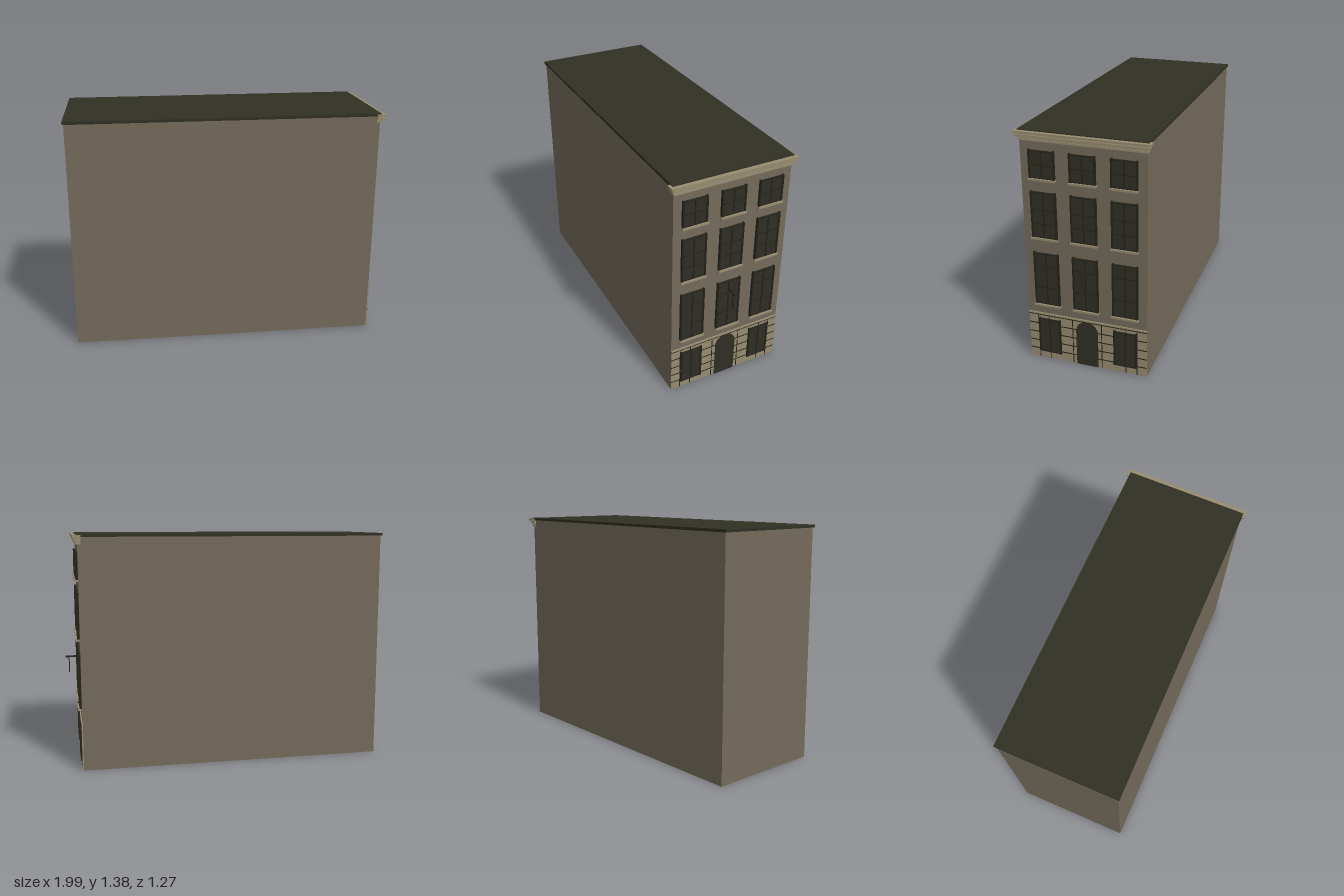
import * as THREE from 'three';

const material = (name, color) => {
  const m = new THREE.MeshStandardMaterial({ color });
  m.name = name;
  return m;
};

export function createModel() {
  const wall = material('wall plaster', 0x746b5b);
  const stone = material('pale stone', 0x968c70);
  const roofing = material('dark roofing', 0x303024);
  const glass = material('dark glass', 0x2f2e25);
  const frame = material('dark frame', 0x25241a);

  // Local frame: the facade lies on z = 0 and faces +z
  const house = new THREE.Group();
  house.name = 'house';
  const W = 0.704, D = 1.818;

  // Box given by its x, y and z limits
  const block = (parent, name, mat, x0, x1, y0, y1, z0, z1) => {
    const mesh = new THREE.Mesh(new THREE.BoxGeometry(x1 - x0, y1 - y0, z1 - z0), mat);
    mesh.position.set((x0 + x1) / 2, (y0 + y1) / 2, (z0 + z1) / 2);
    mesh.name = name;
    parent.add(mesh);
    return mesh;
  };

  // Main volume and flat roof
  block(house, 'walls', wall, -W / 2, W / 2, 0, 1.362, -D, 0);
  block(house, 'roof', roofing, -W / 2 - 0.008, W / 2 + 0.008, 1.362, 1.378, -D - 0.008, 0.006);

  // Stepped cornice
  [[1.321, 1.331, 0.356, 0.012], [1.331, 1.341, 0.353, 0.008], [1.341, 1.354, 0.366, 0.022],
    [1.354, 1.36, 0.358, 0.014], [1.36, 1.373, 0.374, 0.03]].forEach(([y0, y1, half, out]) =>
    block(house, 'corniceStep', stone, -half, half, y0, y1, -0.02, out));

  // Window: pane, side posts, rails, glazing bars
  const addWindow = (x, y0, y1, width, bars, sill) => {
    const g = new THREE.Group();
    g.name = 'window';
    g.position.x = x;
    const h = width / 2;
    block(g, 'pane', glass, -h, h, y0, y1, -0.002, 0.009);
    for (const s of [-1, 1]) {
      block(g, 'sidePost', frame, s * h - 0.005, s * h + 0.005, y0, y1 + 0.004, -0.002, 0.014);
    }
    block(g, 'topRail', frame, -h, h, y1 - 0.006, y1, 0, 0.012);
    block(g, 'bottomRail', frame, -h, h, y0, y0 + 0.006, 0, 0.012);
    block(g, 'mullion', frame, -0.004, 0.004, y0, y1, 0, 0.012);
    bars.forEach(y => block(g, 'glazingBar', frame, -h, h, y - 0.003, y + 0.003, 0, 0.0115));
    if (sill) block(g, 'sill', stone, -h - 0.008, h + 0.008, y0 - 0.011, y0, -0.002, 0.022);
    house.add(g);
  };

  // Three upper floors of three windows
  const floors = [
    [0.36, 0.677, [0.464, 0.6]],
    [0.772, 1.038, [0.856, 0.937]],
    [1.116, 1.271, [1.192]],
  ];
  for (const [y0, y1, bars] of floors) {
    for (const x of [-0.229, 0, 0.229]) addWindow(x, y0, y1, 0.138, bars, true);
  }

  // Stone ground floor with a thin ledge and dark joints
  block(house, 'groundFloorFacing', stone, -W / 2, W / 2, 0, 0.286, -0.002, 0.005);
  block(house, 'groundFloorLedge', stone, -W / 2, W / 2, 0.286, 0.295, -0.002, 0.008);
  for (const y of [0.055, 0.11, 0.166, 0.224, 0.282]) {
    block(house, 'horizontalJoint', frame, -W / 2, W / 2, y - 0.003, y + 0.003, 0, 0.0058);
  }
  for (const x of [0.087, 0.23, 0.296]) {
    for (const s of [-1, 1]) {
      block(house, 'verticalJoint', frame, s * x - 0.0025, s * x + 0.0025, 0, 0.283, 0, 0.0056);
    }
  }
  for (const x of [-0.226, 0.226]) addWindow(x, 0.042, 0.262, 0.124, [], false);

  // Arched door
  const r = 0.065, spring = 0.219;
  const arch = new THREE.Shape();
  arch.moveTo(-r, 0);
  arch.lineTo(r, 0);
  arch.lineTo(r, spring);
  arch.absarc(0, spring, r, 0, Math.PI, false);
  arch.closePath();
  const door = new THREE.Mesh(
    new THREE.ExtrudeGeometry(arch, { depth: 0.009, bevelEnabled: false, curveSegments: 16 }), glass);
  door.name = 'archedDoor';
  house.add(door);

  // Bracket above the door with a hanging bar
  block(house, 'bracketArm', frame, -0.004, 0.004, 0.618, 0.628, 0, 0.082);
  block(house, 'bracketDrop', frame, -0.003, 0.003, 0.525, 0.618, 0.058, 0.064);

  // Turn the house so its facade looks mostly towards +x
  house.rotation.y = THREE.MathUtils.degToRad(107.95);
  house.position.set(0.85, 0, -0.27);

  const model = new THREE.Group();
  model.name = 'townhouse';
  model.add(house);
  return model;
}
